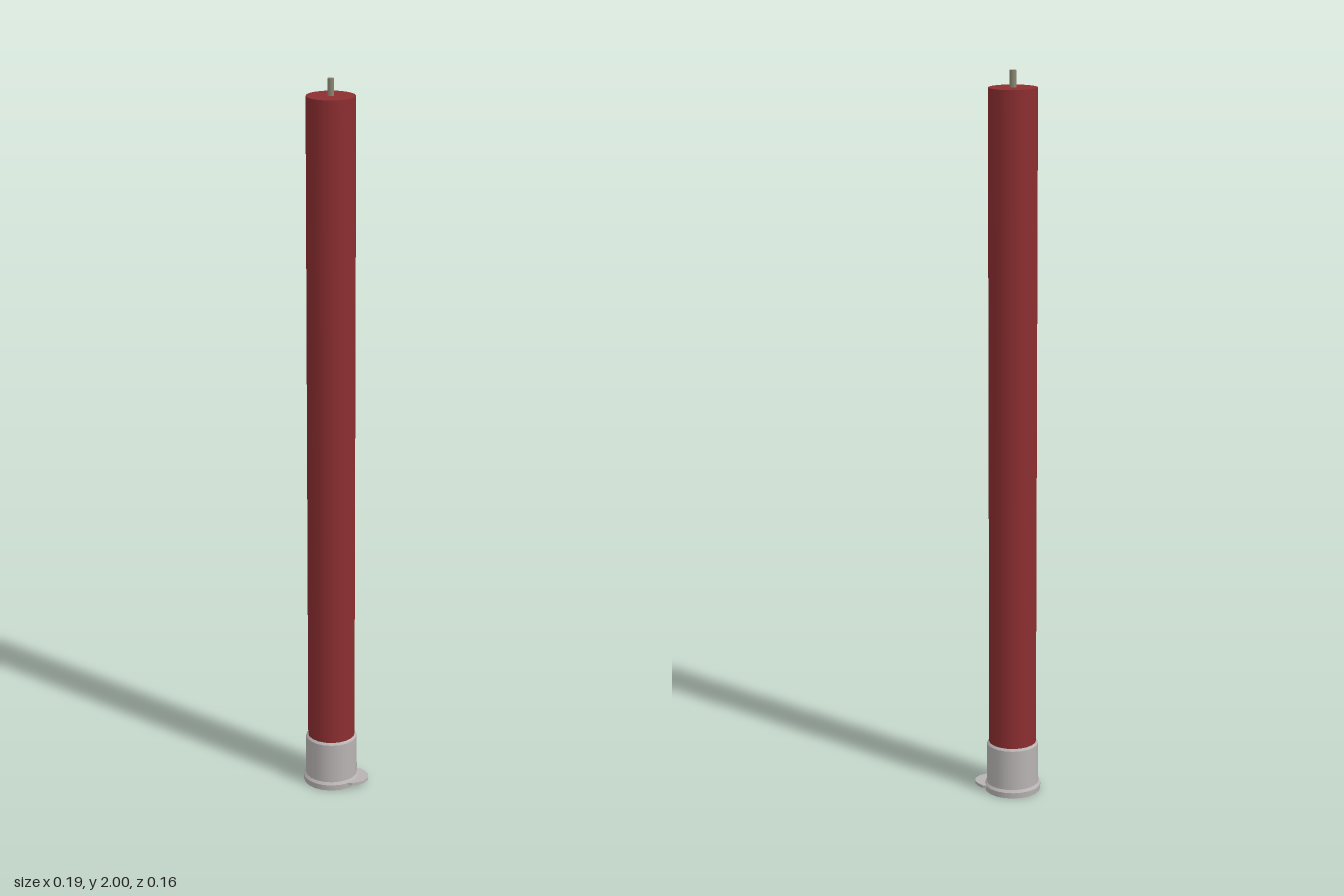
import * as THREE from 'three';

const CENTER_X = -0.016;
const SIDES = 20;

export function createModel() {
  const model = new THREE.Group();
  model.name = 'candle';

  const mat = (name, color) => {
    const m = new THREE.MeshStandardMaterial({ color });
    m.name = name;
    return m;
  };
  const wax = mat('red wax', 0x8c2e30);
  const metal = mat('grey metal', 0xb8b3b3);
  const wickMat = mat('wick tan', 0x8a8670);

  const add = (name, geometry, material, x = CENTER_X, y = 0) => {
    const mesh = new THREE.Mesh(geometry, material);
    mesh.name = name;
    mesh.position.set(x, y, 0);
    model.add(mesh);
  };
  // Stacked profile segments keep the edges between rings crisp
  const ring = (name, r0, y0, r1, y1) => add(
    name,
    new THREE.CylinderGeometry(r1, r0, y1 - y0, SIDES, 1, true),
    metal, CENTER_X, (y0 + y1) / 2);

  // Wax column and wick
  add('waxColumn', new THREE.CylinderGeometry(0.065, 0.065, 1.835, SIDES), wax, CENTER_X, 1.0375);
  add('wick', new THREE.CylinderGeometry(0.009, 0.009, 0.055, 8), wickMat, CENTER_X, 1.9725);

  // Holder: flanged foot, cup wall and rolled rim
  const bottom = new THREE.CircleGeometry(0.077, SIDES);
  bottom.rotateX(Math.PI / 2);
  add('holderBottom', bottom, metal, CENTER_X, 0.003);
  ring('footFlange', 0.077, 0.003, 0.078, 0.019);
  ring('footShoulder', 0.078, 0.019, 0.072, 0.026);
  ring('cupWall', 0.072, 0.026, 0.071, 0.139);
  ring('cupRim', 0.071, 0.139, 0.0655, 0.145);

  // Finger tab on the left side of the foot
  const outline = [
    [0.03, 0.048], [0.058, 0.046], [0.072, 0.037], [0.085, 0.023], [0.092, 0],
    [0.085, -0.023], [0.072, -0.037], [0.058, -0.046], [0.03, -0.048],
  ].map(([x, z]) => new THREE.Vector2(x, z));
  const tab = new THREE.ExtrudeGeometry(new THREE.Shape(outline), { depth: 0.008, bevelEnabled: false });
  tab.rotateX(-Math.PI / 2);
  add('fingerTab', tab, metal, 0, 0.012);

  return model;
}
